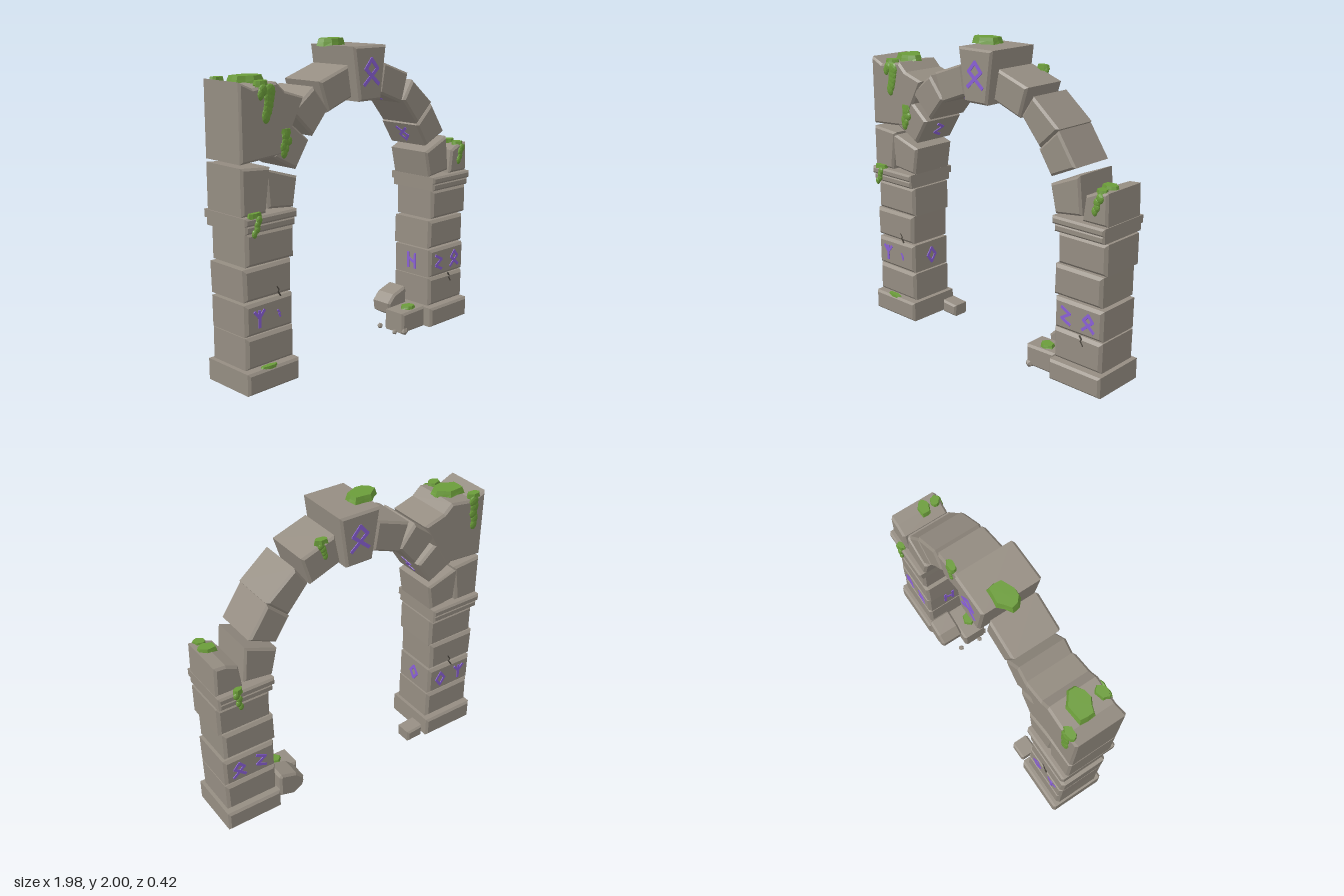
import * as THREE from 'three';

const mat = (name, color, flat = true) => {
  const m = new THREE.MeshStandardMaterial({ color, flatShading: flat });
  m.name = name;
  return m;
};

export function createModel() {
  const root = new THREE.Group();
  root.name = 'ruinedArch';
  const stoneMat = mat('stone', 0x958d82);
  const mossMat = mat('moss', 0x6b9c3a);
  const runeMat = mat('rune', 0x8a60d6);
  const crackMat = mat('crack', 0x4d4840);

  let seed = 7;
  const rnd = () => (seed = (seed * 16807) % 2147483647) / 2147483647;
  const jit = (a) => (rnd() - 0.5) * 2 * a;

  const add = (name, geo, material, parent = root) => {
    const m = new THREE.Mesh(geo, material);
    m.name = name;
    parent.add(m);
    return m;
  };

  // Chamfered stone: a front outline extruded from z0 to z1
  const stone = (name, pts, z0 = -0.165, z1 = 0.165, b = 0.014) => {
    const shape = new THREE.Shape(pts.map((p) => new THREE.Vector2(...p)));
    const geo = new THREE.ExtrudeGeometry(shape, {
      depth: z1 - z0 - 2 * b, bevelThickness: b, bevelSize: b, bevelOffset: -b, bevelSegments: 1,
    });
    geo.translate(0, 0, z0 + b);
    return add(name, geo, stoneMat);
  };
  const block = (name, x0, x1, y0, y1, d, wobble = 0, b = 0.014) => {
    const j = () => jit(wobble);
    return stone(name, [[x0 + j(), y0], [x1 + j(), y0], [x1 + j(), y1 + j()], [x0 + j(), y1 + j()]], -d, d, b);
  };

  // Pillars: base, four blocks and a two-step cap
  const rows = [[0.155, 0.347], [0.355, 0.55], [0.563, 0.755], [0.765, 0.957]];
  const spans = {
    right: [[-0.975, -0.62], [-0.98, -0.62], [-0.98, -0.63], [-0.965, -0.607]],
    left: [[0.612, 0.97], [0.617, 0.972], [0.605, 0.957], [0.628, 0.982]],
  };
  for (const [side, cols] of Object.entries(spans)) {
    const [a, b] = side === 'right' ? [-0.99, -0.602] : [0.602, 0.985];
    block(side + 'Base', a, b, 0.012, 0.145, 0.195);
    cols.forEach(([x0, x1], i) => block(side + 'PillarBlock' + (i + 1), x0, x1, ...rows[i], 0.164, 0.005, 0.018));
    block(side + 'LowerCap', a + 0.013, b - 0.01, 0.963, 1.013, 0.185, 0, 0.012);
    block(side + 'UpperCap', a + 0.003, b - 0.003, 1.01, 1.058, 0.195, 0, 0.012);
  }

  // Arch stones, from the right pillar over to the left one
  const arch = [
    [[-0.79, 1.08], [-0.6, 1.06], [-0.57, 1.238], [-0.805, 1.31]],
    [[-0.75, 1.37], [-0.577, 1.278], [-0.475, 1.435], [-0.62, 1.555]],
    [[-0.605, 1.61], [-0.445, 1.455], [-0.32, 1.6], [-0.435, 1.74]],
    [[-0.39, 1.765], [-0.325, 1.58], [-0.123, 1.655], [-0.155, 1.845]],
    [[0.15, 1.845], [0.113, 1.658], [0.32, 1.58], [0.378, 1.765]],
    [[0.42, 1.72], [0.335, 1.595], [0.475, 1.43], [0.615, 1.558]],
    [[0.61, 1.55], [0.468, 1.42], [0.563, 1.275], [0.742, 1.355]],
    [[0.77, 1.317], [0.56, 1.232], [0.6, 1.06], [0.795, 1.085]],
  ];
  arch.forEach((p, i) => stone('archStone' + (i + 1), p, -0.163, 0.16));
  stone('keystone', [[-0.095, 1.625], [0.09, 1.625], [0.135, 1.955], [-0.145, 1.955]], -0.195, 0.195);

  // Remains of the wall above each pillar
  stone('wallBlock', [[-0.985, 1.06], [-0.81, 1.06], [-0.775, 1.318], [-0.985, 1.335]]);
  stone('brokenWall', [[-0.985, 1.355], [-0.69, 1.375], [-0.6, 1.53], [-0.515, 1.69],
    [-0.66, 1.735], [-0.72, 1.79], [-0.89, 1.765], [-0.985, 1.805]]);
  stone('brokenStub', [[0.802, 1.06], [0.98, 1.06], [0.975, 1.255], [0.9, 1.25], [0.822, 1.215]]);

  // Fallen rubble
  stone('fallenBlock', [[0.375, 0.012], [0.6, 0.012], [0.6, 0.155], [0.375, 0.15]], -0.03, 0.14);
  stone('leaningRock', [[0.43, 0.1], [0.5, 0.06], [0.6, 0.09], [0.6, 0.24], [0.585, 0.26], [0.475, 0.225], [0.42, 0.17]], -0.19, -0.03);
  stone('smallRock', [[-0.575, 0.02], [-0.455, 0.015], [-0.45, 0.095], [-0.575, 0.105]], -0.175, -0.055, 0.012);
  [[0.4, 0.13, 0.028], [0.376, -0.07, 0.02], [0.36, 0.08, 0.018]].forEach(([x, z, r]) => {
    const g = new THREE.IcosahedronGeometry(r, 0).rotateX(0.55);
    g.computeBoundingBox();
    add('pebble', g, stoneMat).position.set(x, -g.boundingBox.min.y, z);
  });

  // Moss pad: flattened disc with an uneven rim
  const pad = (x, y, z, rx, rz, h = 0.03) => {
    const g = new THREE.CylinderGeometry(0.85, 1, 1, 11, 2);
    const p = g.attributes.position;
    const s = rnd() * 6;
    for (let i = 0; i < p.count; i++) {
      const a = Math.atan2(p.getZ(i), p.getX(i));
      const k = 1 + 0.12 * Math.sin(2 * a + s) + 0.1 * Math.sin(5 * a + s * 2);
      p.setXYZ(i, p.getX(i) * k * rx, p.getY(i) * h + 0.006 * Math.sin(3 * a + s) * (p.getY(i) < 0 ? 1 : 0), p.getZ(i) * k * rz);
    }
    add('mossPad', g, mossMat).position.set(x, y, z);
  };
  [
    [-0.8, 1.802, -0.01, 0.1, 0.08, 0.04], [-0.12, 1.975, -0.035, 0.095, 0.078, 0.042],
    [0.24, 1.835, -0.15, 0.042, 0.028], [0.91, 1.258, 0.045, 0.055, 0.045], [0.915, 1.25, 0.13, 0.04, 0.035],
    [-0.9, 1.795, -0.145, 0.045, 0.033], [-0.81, 1.788, 0.132, 0.052, 0.035], [-0.66, 1.508, 0.155, 0.038, 0.025],
    [-0.91, 1.065, 0.175, 0.05, 0.024], [0.85, 1.065, -0.182, 0.035, 0.022],
    [-0.82, 0.146, 0.17, 0.06, 0.022, 0.018], [0.495, 0.162, 0.075, 0.055, 0.04, 0.022], [-0.56, 1.64, 0.03, 0.03, 0.025],
  ].forEach((a) => pad(...a));

  // Moss drips: overlapping flat lobes down a face
  const drip = (x, y0, y1, z, r, n = 4) => {
    for (let i = 0; i < n; i++) {
      const t = i / (n - 1);
      const m = add('mossDrip', new THREE.IcosahedronGeometry(1, 1), mossMat);
      m.position.set(x + jit(0.008) - 0.02 * t, y0 + (y1 - y0) * t, z);
      m.scale.set(r * (1 - 0.25 * t), r * 1.15, 0.014);
    }
  };
  drip(-0.78, 1.74, 1.61, 0.165, 0.04, 5);
  drip(-0.815, 1.75, 1.73, 0.165, 0.03, 2);
  drip(-0.885, 1.76, 1.6, -0.165, 0.035, 5);
  drip(-0.66, 1.48, 1.39, 0.162, 0.032);
  drip(-0.635, 1.45, 1.41, 0.162, 0.025, 2);
  drip(0.92, 1.22, 1.14, 0.165, 0.026);
  drip(-0.9, 1.04, 0.965, 0.195, 0.022);
  drip(0.86, 1.04, 0.955, -0.195, 0.022);
  drip(0.245, 1.81, 1.74, -0.163, 0.022);

  // Marks: bars along polylines, laid on a surface with a given normal and up
  const strokes = (name, lines, pos, normal, up, h, w, material) => {
    const g = new THREE.Group();
    g.name = name;
    const n = new THREE.Vector3(...normal).normalize();
    const u = new THREE.Vector3(...up).normalize();
    g.applyMatrix4(new THREE.Matrix4().makeBasis(u.clone().cross(n), u, n).setPosition(...pos));
    for (const line of lines) for (let i = 1; i < line.length; i++) {
      const [ax, ay] = line[i - 1], [bx, by] = line[i];
      const bar = add('stroke', new THREE.BoxGeometry(Math.hypot(bx - ax, by - ay) * h + w * 0.6, w, 0.008), material, g);
      bar.position.set((ax + bx) / 2 * h, ((ay + by) / 2 - 0.5) * h, 0);
      bar.rotation.z = Math.atan2(by - ay, bx - ax);
    }
    root.add(g);
  };
  const glyph = {
    loop: [[[-0.4, 0], [0.33, 0.62], [0, 1], [-0.33, 0.62], [0.4, 0]]],
    fork: [[[0, 0], [0, 0.95]], [[-0.35, 0.95], [0, 0.55], [0.35, 0.95]]],
    zig: [[[-0.3, 1], [0.3, 0.68], [-0.3, 0.3], [0.3, 0]]],
    worn: [[[-0.1, 0.7], [0.08, 0.5], [0, 0.45], [0.1, 0.25]]],
    diamond: [[[0, 0], [0.35, 0.5], [0, 1], [-0.35, 0.5], [0, 0]]],
    gate: [[[-0.3, 0], [-0.3, 1]], [[0.3, 0], [0.3, 1]], [[-0.3, 0.65], [0.3, 0.35]]],
  };
  const rune = (key, pos, normal, up = [0, 1, 0], h = 0.1, w = 0.018) =>
    strokes('rune', glyph[key], pos, normal, up, h, w, runeMat);
  const F = [0, 0, 1], B = [0, 0, -1];
  rune('fork', [-0.88, 0.452, 0.165], F);
  rune('worn', [-0.735, 0.452, 0.165], F, [0, 1, 0], 0.09, 0.01);
  rune('zig', [0.705, 0.452, 0.165], F);
  rune('loop', [0.87, 0.452, 0.165], F);
  rune('fork', [-0.88, 0.452, -0.165], B);
  rune('diamond', [-0.72, 0.452, -0.165], B);
  rune('zig', [0.715, 0.452, -0.165], B);
  rune('loop', [0.87, 0.452, -0.165], B);
  rune('diamond', [-0.62, 0.452, 0], [1, 0, 0]);
  rune('gate', [0.615, 0.452, 0], [-1, 0, 0]);
  rune('loop', [0, 1.8, 0.196], F, [0, 1, 0], 0.15, 0.022);
  rune('loop', [0, 1.8, -0.196], B, [0, 1, 0], 0.15, 0.022);

  // Runes on the underside of the arch
  [[1, 'zig', 1, 2], [3, 'fork', 1, 2], [4, 'gate', 1, 2], [6, 'loop', 1, 2]].forEach(([i, key, a, b]) => {
    const [ax, ay] = arch[i][a], [bx, by] = arch[i][b];
    rune(key, [(ax + bx) / 2, (ay + by) / 2, 0], [by - ay, ax - bx, 0], [bx - ax, by - ay, 0]);
  });

  // Cracks
  const crack = [[[-0.2, 1], [0.05, 0.65], [-0.05, 0.45], [0.25, 0]]];
  const cut = (pos, normal, h) => strokes('crack', crack, pos, normal, [0, 1, 0], h, 0.007, crackMat);
  cut([0.82, 0.325, 0.163], F, 0.06);
  cut([-0.735, 0.585, 0.163], F, 0.06);
  cut([-0.79, 0.58, -0.163], B, 0.09);
  return root;
}
